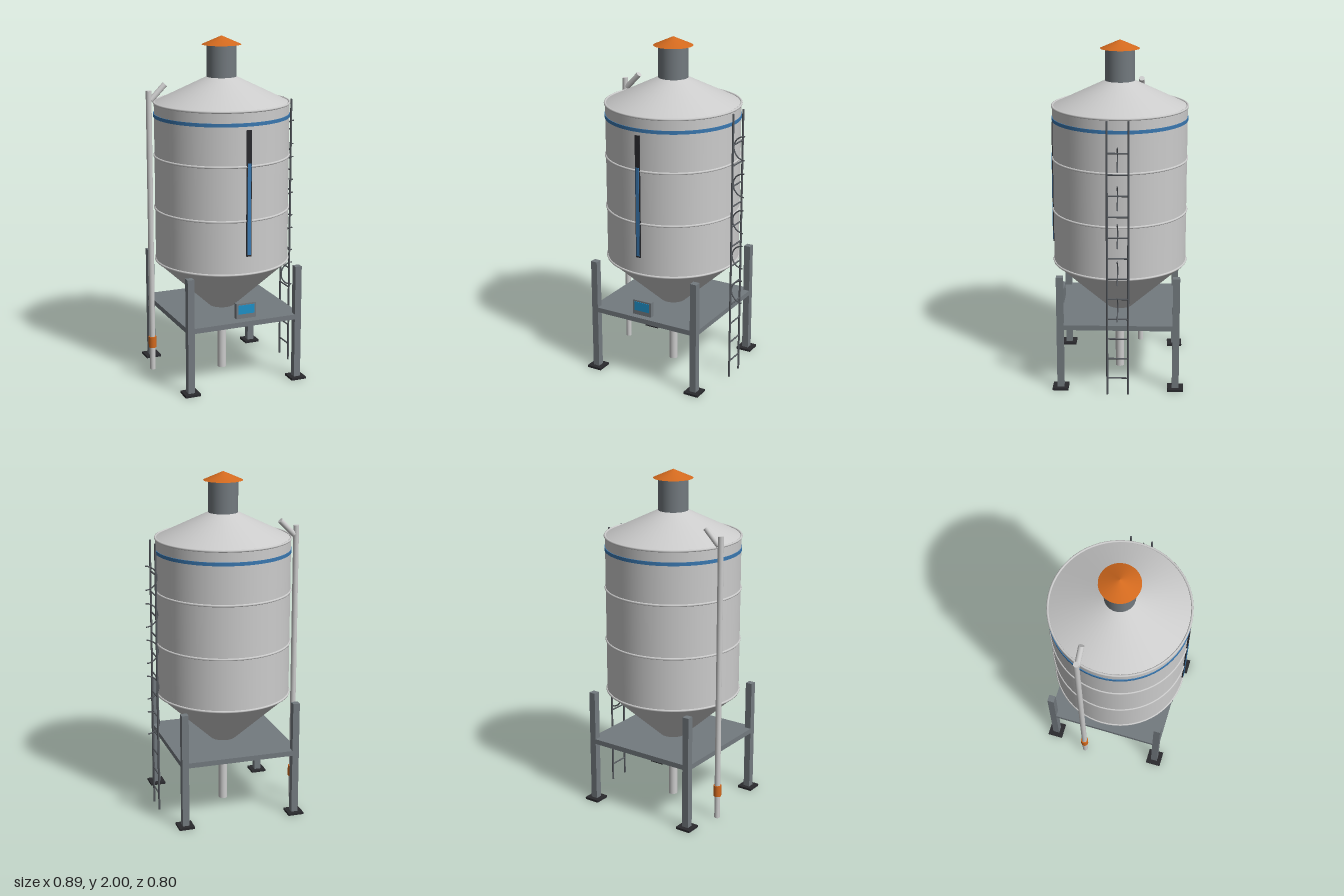
import * as THREE from 'three';

const AX = -0.022; // axis of the tank
const mat = (color) => new THREE.MeshStandardMaterial({ color });

export function createModel() {
  const model = new THREE.Group();
  const grey = mat(0xcccccc), steel = mat(0x737a7f), dark = mat(0x55595e), black = mat(0x2a2a2e);
  const orange = mat(0xd2691e), blue = mat(0x3a78b0), navy = mat(0x27408b), cyan = mat(0x1e90c8);

  const add = (name, geo, material, x = 0, y = 0, z = 0, parent = model) => {
    const m = new THREE.Mesh(geo, material);
    m.name = name;
    m.position.set(x, y, z);
    parent.add(m);
    return m;
  };
  const group = (name) => {
    const g = new THREE.Group();
    g.name = name;
    model.add(g);
    return g;
  };
  // Upright round part from y0 to y1 with its radii at bottom and top
  const round = (name, r0, r1, y0, y1, material, x = AX, z = 0, seg = 64, parent = model) =>
    add(name, new THREE.CylinderGeometry(r1, r0, y1 - y0, seg), material, x, (y0 + y1) / 2, z, parent);
  // Box given by its limits
  const box = (name, x0, x1, y0, y1, z0, z1, material, parent = model) =>
    add(name, new THREE.BoxGeometry(x1 - x0, y1 - y0, z1 - z0), material,
      (x0 + x1) / 2, (y0 + y1) / 2, (z0 + z1) / 2, parent);
  // Straight rod between two points
  const rod = (name, a, b, r, material, parent = model) => {
    const p = new THREE.Vector3(...a), q = new THREE.Vector3(...b);
    const d = q.clone().sub(p);
    const m = add(name, new THREE.CylinderGeometry(r, r, d.length(), 16), material, 0, 0, 0, parent);
    m.position.copy(p).lerp(q, 0.5);
    m.quaternion.setFromUnitVectors(new THREE.Vector3(0, 1, 0), d.normalize());
    return m;
  };

  // Tank
  round('tankWall', 0.39, 0.39, 0.69, 1.62, grey);
  round('roof', 0.39, 0.08, 1.62, 1.77, grey);
  round('hopper', 0.065, 0.39, 0.39, 0.69, grey);
  round('blueBand', 0.394, 0.394, 1.54, 1.56, blue);
  const rings = group('rings');
  for (const y of [0.695, 1.005, 1.315, 1.622]) {
    add('ring', new THREE.TorusGeometry(0.39, 0.007, 8, 64), grey, AX, y, 0, rings).rotation.x = Math.PI / 2;
  }

  // Vent stack and its cap
  round('ventStack', 0.086, 0.086, 1.765, 1.95, steel, AX, 0, 32);
  add('ventCap', new THREE.ConeGeometry(0.114, 0.05, 32), orange, AX, 1.975, 0);

  // Outlet with its drive
  round('outletCollar', 0.076, 0.093, 0.3, 0.39, grey, AX, 0, 32);
  round('outletPipe', 0.026, 0.026, 0, 0.32, grey, AX, 0, 24);
  box('driveMotor', 0.025, 0.105, 0.278, 0.336, -0.036, 0.036, navy);

  // Stand
  const stand = group('stand');
  box('deck', AX - 0.354, AX + 0.354, 0.37, 0.4, -0.355, 0.355, steel, stand);
  for (const sx of [-1, 1]) for (const sz of [-1, 1]) {
    const x = AX + sx * 0.334, z = sz * 0.335;
    box('leg', x - 0.02, x + 0.02, 0.004, 0.69, z - 0.02, z + 0.02, steel, stand);
    box('foot', x - 0.046, x + 0.046, 0, 0.013, z - 0.046, z + 0.046, black, stand);
  }

  // Level gauge
  box('gaugeFrame', AX - 0.015, AX + 0.015, 0.8, 1.52, 0.375, 0.396, black);
  box('gaugeLevel', AX - 0.01, AX + 0.01, 0.81, 1.335, 0.38, 0.399, blue);

  // Control panel
  box('controlPanel', AX - 0.061, AX + 0.061, 0.425, 0.515, 0.333, 0.363, steel);
  box('panelScreen', AX - 0.049, AX + 0.049, 0.452, 0.505, 0.35, 0.366, cyan);

  // Ladder with half hoops
  const ladder = group('ladder');
  const lx = 0.396;
  for (const z of [-0.061, 0.059]) rod('rail', [lx, 0, z], [lx, 1.62, z], 0.006, dark, ladder);
  for (let i = 0; i < 12; i++) {
    const y = 0.103 + i * 0.1215;
    rod('rung', [lx, y, -0.061], [lx, y, 0.059], 0.0045, dark, ladder);
  }
  for (let i = 0; i < 5; i++) {
    const hoop = add('hoop', new THREE.TorusGeometry(0.07, 0.004, 8, 24, Math.PI), dark,
      0.442, 0.535 + i * 0.219, 0, ladder);
    hoop.rotation.z = Math.PI / 2;
  }

  // Filling pipe with branch and coupling
  round('fillPipe', 0.0165, 0.0165, 0, 1.69, grey, -0.423, -0.12, 20);
  rod('fillBranch', [-0.41, 1.636, -0.12], [-0.325, 1.722, -0.12], 0.0165, grey);
  round('fillCoupling', 0.023, 0.023, 0.14, 0.207, orange, -0.423, -0.12, 20);

  return model;
}
